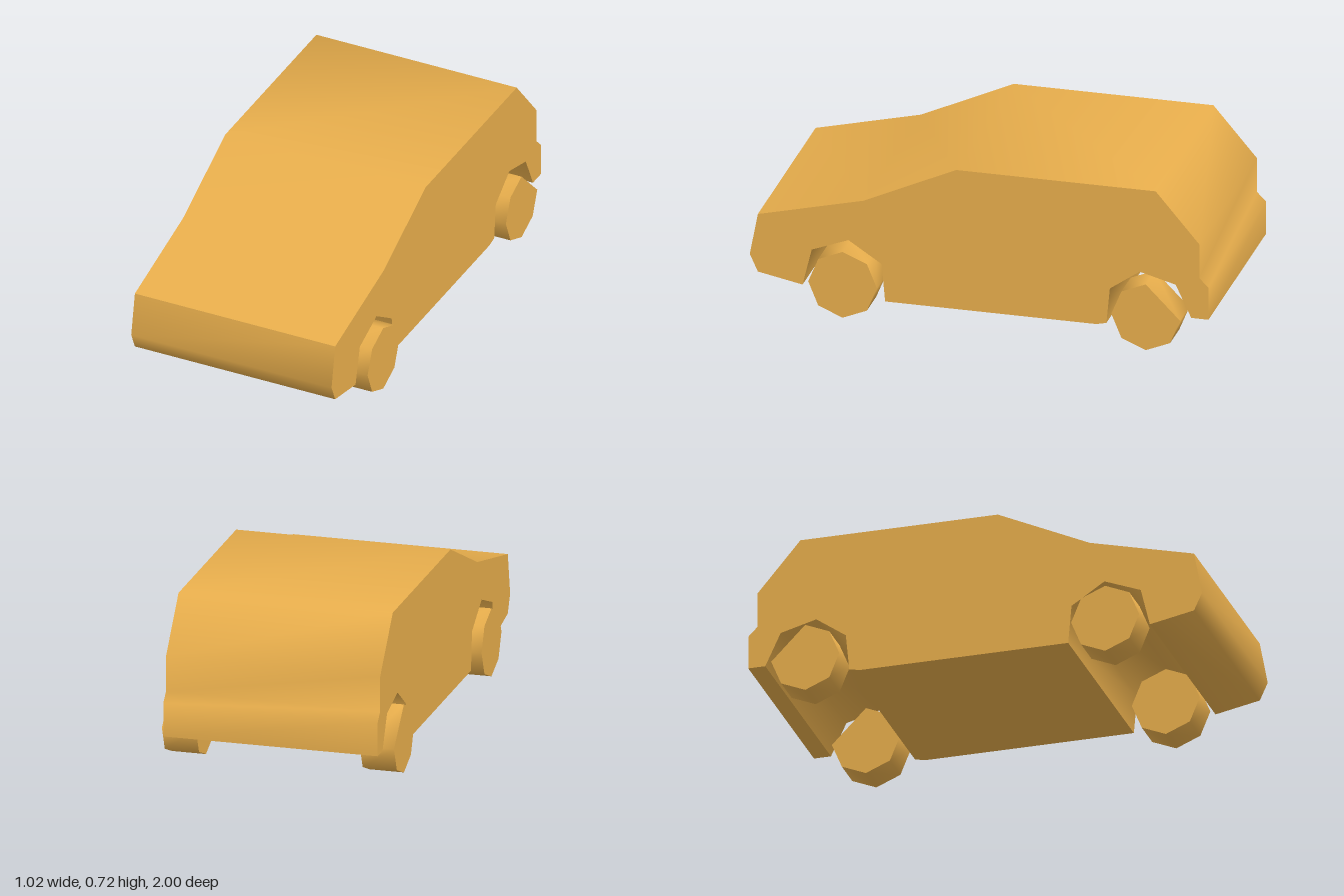
import * as THREE from 'three';
import { toCreasedNormals } from 'three/addons/utils/BufferGeometryUtils.js';

const paint = new THREE.MeshStandardMaterial({ color: 0xe8ae4c });

// Extrude a side profile of [z, y] points across the car, centred on x = 0
function extrudeAcross(points, width) {
  const shape = new THREE.Shape(points.map(([z, y]) => new THREE.Vector2(z, y)));
  const geo = new THREE.ExtrudeGeometry(shape, { depth: width, bevelEnabled: false });
  geo.translate(0, 0, -width / 2);
  geo.rotateY(-Math.PI / 2);
  return geo;
}

// Flat-faced shell whose wheel arches alone are smooth
function bodyGeometry() {
  const profile = [
    [1, 0.23], [0.965, 0.417], [0.505, 0.53], [0.1, 0.717], [-0.77, 0.717], // nose to roof
    [-0.96, 0.495], [-0.96, 0.34], [-1, 0.3], [-1, 0.153], [-0.925, 0.153], // hatch and bumper
    [-0.857, 0.298], [-0.7, 0.34], [-0.57, 0.248], [-0.555, 0.088], [-0.51, 0.078], // rear arch
    [0.41, 0.078], [0.425, 0.248], [0.57, 0.342], [0.73, 0.28], [0.77, 0.115], // front arch
    [0.965, 0.153],
  ];
  const geo = extrudeAcross(profile, 0.94);
  const smooth = toCreasedNormals(geo, 1.1).attributes.normal;
  const { position, normal } = geo.attributes;
  const inArch = (i) => {
    const z = position.getZ(i);
    return position.getY(i) < 0.345 && ((z > 0.405 && z < 0.775) || (z > -0.93 && z < -0.55));
  };
  for (let i = 0; i < position.count; i += 3) {
    if (inArch(i) && inArch(i + 1) && inArch(i + 2)) {
      for (let k = i; k < i + 3; k++) normal.setXYZ(k, smooth.getX(k), smooth.getY(k), smooth.getZ(k));
    }
  }
  return geo;
}

// Eight-sided wheel; the rear ones have one corner cut off
function wheelGeometry(cutCorner) {
  const points = [];
  for (let i = 0; i < 8; i++) {
    if (i === cutCorner) continue;
    const a = (i * Math.PI) / 4;
    points.push([0.15 * Math.cos(a), 0.151 * Math.sin(a)]);
  }
  return toCreasedNormals(extrudeAcross(points, 0.15), 1.3);
}

export function createModel() {
  const car = new THREE.Group();
  car.name = 'car';
  const add = (name, geo, x = 0, y = 0, z = 0) => {
    const mesh = new THREE.Mesh(geo, paint);
    mesh.name = name;
    mesh.position.set(x, y, z);
    car.add(mesh);
  };

  add('body', bodyGeometry());

  const frontWheel = wheelGeometry(-1);
  const rearWheel = wheelGeometry(3);
  for (const [side, x] of [['Left', 0.434], ['Right', -0.434]]) {
    add(`front${side}Wheel`, frontWheel, x, 0.151, 0.585);
    add(`rear${side}Wheel`, rearWheel, x, 0.151, -0.737);
  }
  return car;
}
